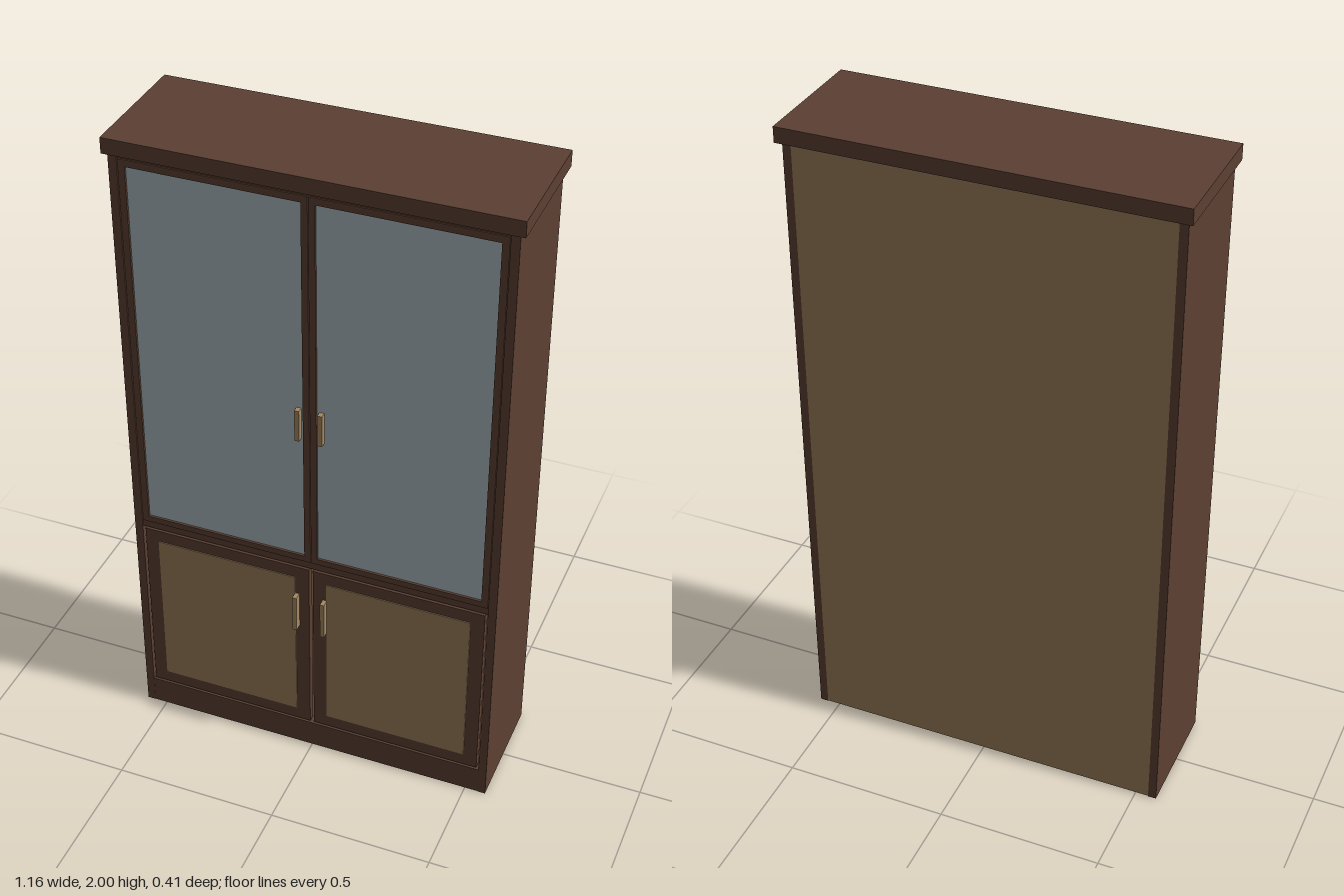
import * as THREE from 'three';

const mat = (name, color) => {
  const m = new THREE.MeshStandardMaterial({ color });
  m.name = name;
  return m;
};

export function createModel() {
  const wood = mat('dark wood', 0x5c4033);
  const tan = mat('tan panel', 0x9b7f5c);
  const glass = mat('pale glass', 0xabb8be);
  const brass = mat('brass', 0xa58a62);
  const model = new THREE.Group();
  model.name = 'displayCabinet';

  // Box given by its limits on each axis
  const box = (parent, name, material, [x0, x1], [y0, y1], [z0, z1]) => {
    const mesh = new THREE.Mesh(new THREE.BoxGeometry(x1 - x0, y1 - y0, z1 - z0), material);
    mesh.position.set((x0 + x1) / 2, (y0 + y1) / 2, (z0 + z1) / 2);
    mesh.name = name;
    parent.add(mesh);
  };

  // Rectangular door frame with an opening
  const frame = (parent, name, [x0, x1], [y0, y1], [a0, a1], [b0, b1], [z0, z1]) => {
    const shape = new THREE.Shape([[x0, y0], [x1, y0], [x1, y1], [x0, y1]].map(p => new THREE.Vector2(...p)));
    shape.holes.push(new THREE.Path([[a0, b0], [a0, b1], [a1, b1], [a1, b0]].map(p => new THREE.Vector2(...p))));
    const mesh = new THREE.Mesh(new THREE.ExtrudeGeometry(shape, { depth: z1 - z0, bevelEnabled: false }), wood);
    mesh.position.z = z0;
    mesh.name = name;
    parent.add(mesh);
  };

  // Carcass
  box(model, 'cornice', wood, [-0.58, 0.58], [1.953, 2], [-0.203, 0.187]);
  box(model, 'plinth', wood, [-0.54, 0.54], [0, 0.09], [-0.178, 0.178]);
  box(model, 'middleShelf', wood, [-0.54, 0.54], [0.708, 0.73], [-0.178, 0.174]);
  box(model, 'topPanel', wood, [-0.54, 0.54], [1.943, 1.953], [-0.178, 0.176]);
  box(model, 'backPanel', tan, [-0.54, 0.54], [0.002, 1.953], [-0.186, -0.178]);
  for (const y of [1.13, 1.53]) box(model, 'innerShelf', wood, [-0.54, 0.54], [y, y + 0.02], [-0.178, 0.13]);

  for (const s of [-1, 1]) {
    const side = s > 0 ? 'left' : 'right';
    const span = (a, b) => (s > 0 ? [a, b] : [-b, -a]);
    box(model, side + 'SidePanel', wood, span(0.54, 0.565), [0, 1.953], [-0.186, 0.179]);

    // Upper glazed door
    const upper = new THREE.Group();
    upper.name = side + 'GlassDoor';
    frame(upper, 'glassDoorFrame', span(0.001, 0.538), [0.733, 1.942], span(0.02, 0.518), [0.753, 1.921], [0.155, 0.178]);
    box(upper, 'glassPane', glass, span(0.02, 0.518), [0.753, 1.921], [0.163, 0.171]);
    box(upper, 'glassDoorHandle', brass, span(0.027, 0.041), [1.17, 1.272], [0.171, 0.189]);
    model.add(upper);

    // Lower panelled door, with a narrow gap at the side panel
    const lower = new THREE.Group();
    lower.name = side + 'PanelDoor';
    frame(lower, 'panelDoorFrame', span(0.006, 0.532), [0.098, 0.704], span(0.049, 0.49), [0.14, 0.665], [0.155, 0.178]);
    box(lower, 'doorPanel', tan, span(0.049, 0.49), [0.14, 0.665], [0.172, 0.181]);
    box(lower, 'panelDoorHandle', brass, span(0.037, 0.05), [0.48, 0.604], [0.178, 0.202]);
    model.add(lower);
  }
  return model;
}
